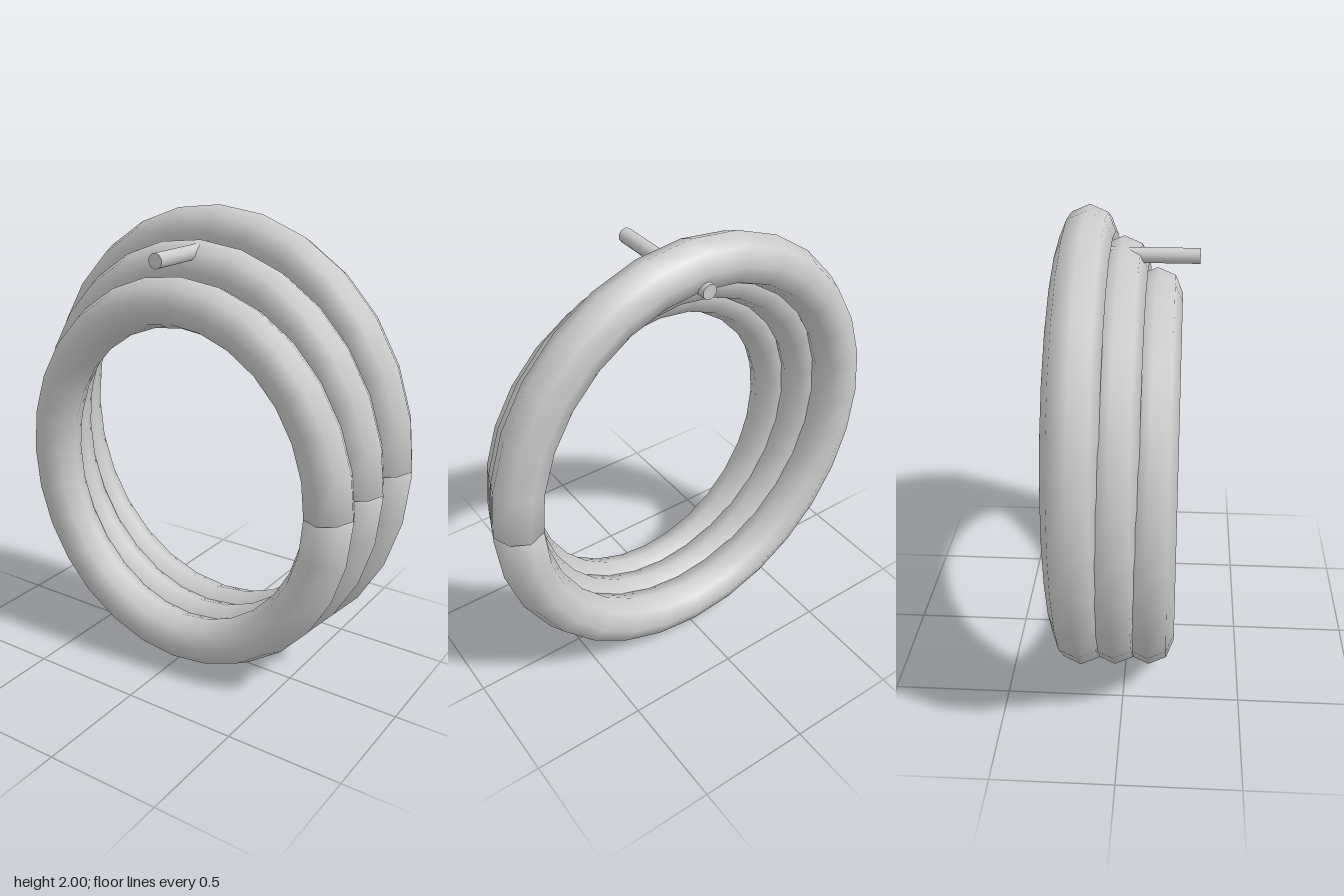
import * as THREE from 'three';

const SEGMENTS = 28;
const SIDES = 8;
const TUBE = 0.105;

// A capped eight-sided tube bent around an ellipse; its two ends meet at the +x side.
function coilGeometry(a, b) {
  const path = [];
  for (let i = 0; i <= SEGMENTS; i++) {
    const t = (i / SEGMENTS) * Math.PI * 2;
    path.push(new THREE.Vector2(a * Math.cos(t), b * Math.sin(t)));
  }
  const pos = [];
  const index = [];
  path.forEach((p, i) => {
    // one-sided tangents at the ends leave a thin wedge-shaped gap
    const dir = path[Math.min(i + 1, SEGMENTS)].clone().sub(path[Math.max(i - 1, 0)]).normalize();
    for (let j = 0; j < SIDES; j++) {
      const u = (j / SIDES) * Math.PI * 2;
      const out = TUBE * Math.cos(u);
      pos.push(p.x + dir.y * out, p.y - dir.x * out, TUBE * Math.sin(u));
    }
  });
  for (let i = 0; i < SEGMENTS; i++) {
    for (let j = 0; j < SIDES; j++) {
      const k = (j + 1) % SIDES;
      const p = i * SIDES + j, q = i * SIDES + k;
      index.push(p, p + SIDES, q, q, p + SIDES, q + SIDES);
    }
  }
  // End caps share the rim vertices, so the shading rolls over the ends
  const first = pos.length / 3;
  pos.push(path[0].x, path[0].y, 0, path[SEGMENTS].x, path[SEGMENTS].y, 0);
  const last = SEGMENTS * SIDES;
  for (let j = 0; j < SIDES; j++) {
    const k = (j + 1) % SIDES;
    index.push(first, j, k, first + 1, last + k, last + j);
  }
  const geometry = new THREE.BufferGeometry();
  geometry.setAttribute('position', new THREE.Float32BufferAttribute(pos, 3));
  geometry.setIndex(index);
  geometry.computeVertexNormals();
  return geometry;
}

export function createModel() {
  const model = new THREE.Group();
  model.name = 'hangingCoils';
  const material = new THREE.MeshStandardMaterial({ color: 0xcccccc });

  // Three coils, growing toward the back
  const coils = [
    { name: 'frontCoil', a: 0.705, b: 0.765, y: 0.875, z: 0.11 },
    { name: 'middleCoil', a: 0.76, b: 0.825, y: 0.945, z: -0.03 },
    { name: 'backCoil', a: 0.815, b: 0.884, y: 1.012, z: -0.17 },
  ];
  for (const { name, a, b, y, z } of coils) {
    const coil = new THREE.Mesh(coilGeometry(a, b), material);
    coil.name = name;
    coil.position.set(0, y, z);
    model.add(coil);
  }

  // Peg running front to back through the tops of the coils
  const peg = new THREE.Mesh(new THREE.CylinderGeometry(0.032, 0.032, 0.56, 10), material);
  peg.name = 'peg';
  peg.rotation.x = Math.PI / 2;
  peg.position.set(0, 1.832, 0);
  model.add(peg);

  return model;
}
